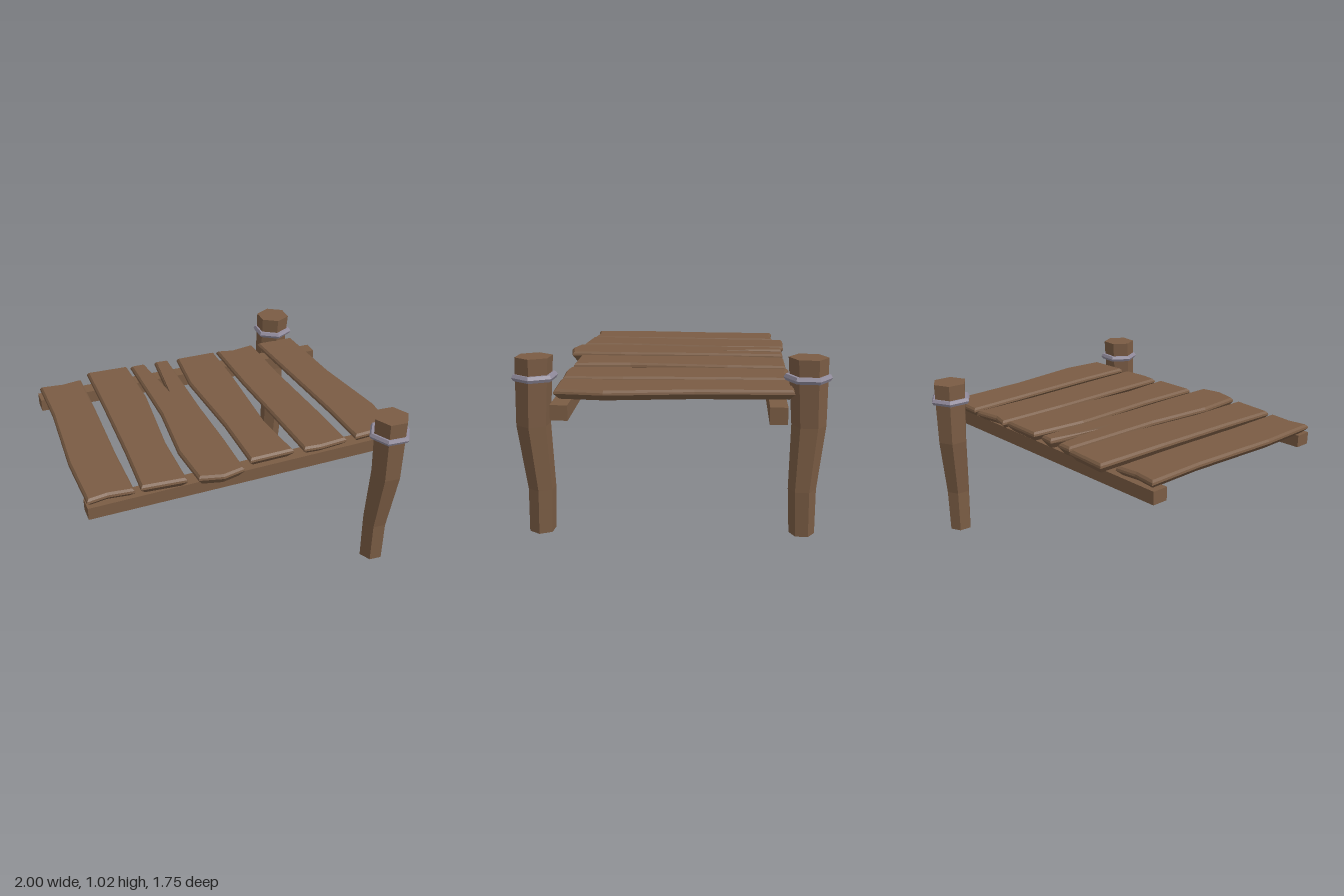
import * as THREE from 'three';

// Closed solid through stacked loops of [x, y, z], listed bottom to top
function loft(loops) {
  const pos = [];
  const n = loops[0].length;
  const tri = (a, b, c) => pos.push(...a, ...b, ...c);
  for (let k = 0; k < loops.length - 1; k++) {
    const lo = loops[k], up = loops[k + 1];
    for (let i = 0; i < n; i++) {
      const j = (i + 1) % n;
      tri(lo[i], up[j], lo[j]);
      tri(lo[i], up[i], up[j]);
    }
  }
  const cap = (loop, top) => {
    const flat = loop.map(p => new THREE.Vector2(p[0], p[2]));
    for (const [a, b, c] of THREE.ShapeUtils.triangulateShape(flat, [])) {
      if (top) tri(loop[a], loop[c], loop[b]);
      else tri(loop[a], loop[b], loop[c]);
    }
  };
  cap(loops[0], false);
  cap(loops[loops.length - 1], true);
  const geo = new THREE.BufferGeometry();
  geo.setAttribute('position', new THREE.Float32BufferAttribute(pos, 3));
  geo.computeVertexNormals();
  return geo;
}

// Shrink an [x, z] outline by d, with limited mitres, and place it at height y
function inset(outline, d, y) {
  const n = outline.length;
  const normal = (a, b) => new THREE.Vector2(a[1] - b[1], b[0] - a[0]).normalize();
  return outline.map((p, i) => {
    const n1 = normal(outline[(i + n - 1) % n], p);
    const n2 = normal(p, outline[(i + 1) % n]);
    const m = n1.clone().add(n2).normalize();
    const s = d / Math.max(m.dot(n1), 0.4);
    return [p[0] + m.x * s, y, p[1] + m.y * s];
  });
}

// Plank outlines: back edge, right side, front edge, left side
const PLANKS = [
  [[-0.975, -0.615], [-0.83, -0.6], [-0.7, -0.62], [-0.705, -0.2], [-0.72, 0.3], [-0.72, 0.68],
    [-0.87, 0.665], [-0.99, 0.685], [-1, 0.3], [-0.97, -0.25]],
  [[-0.645, -0.68], [-0.37, -0.67], [-0.365, -0.25], [-0.42, 0.3], [-0.425, 0.7],
    [-0.69, 0.68], [-0.67, 0.3], [-0.655, -0.2]],
  [[-0.35, -0.655], [-0.25, -0.655], [-0.215, -0.26], [-0.18, -0.655], [-0.085, -0.65], [-0.095, 0],
    [-0.09, 0.4], [-0.095, 0.72], [-0.23, 0.75], [-0.37, 0.715], [-0.39, 0.43], [-0.35, 0]],
  [[-0.02, -0.655], [0.255, -0.655], [0.25, -0.3], [0.215, 0.3], [0.245, 0.65],
    [-0.035, 0.655], [-0.03, 0.25], [-0.055, -0.3]],
  [[0.28, -0.67], [0.39, -0.645], [0.555, -0.675], [0.555, -0.25], [0.58, 0.3], [0.59, 0.65],
    [0.41, 0.665], [0.305, 0.655], [0.295, 0.25], [0.28, -0.2]],
  [[0.59, -0.67], [0.86, -0.67], [0.88, -0.13], [0.94, 0.36], [0.915, 0.635],
    [0.645, 0.65], [0.64, 0.3], [0.615, -0.2]],
];
const PLANK_TOPS = [0.863, 0.87, 0.873, 0.868, 0.862, 0.865];

// Beams: [x, z centre, bottom, top] at the left and right ends
const BEAMS = [
  ['frontBeam', [-0.99, 0.64, 0.738, 0.812], [1, 0.59, 0.715, 0.8]],
  ['backBeam', [-0.99, -0.57, 0.735, 0.812], [0.975, -0.58, 0.705, 0.8]],
];

// Posts: bent centre line as [x, y, z, radius], and the turn of the hexagon
const POSTS = [
  ['frontPost', 0.07, [[0.79, 0, 0.752, 0.077], [0.79, 0.26, 0.745, 0.08],
    [0.805, 0.64, 0.775, 0.098], [0.805, 1.025, 0.757, 0.107]]],
  ['backPost', 0.58, [[0.75, 0, -0.74, 0.073], [0.758, 0.27, -0.733, 0.079],
    [0.732, 0.64, -0.76, 0.097], [0.742, 1.025, -0.745, 0.11]]],
];

export function createModel() {
  const model = new THREE.Group();
  const wood = new THREE.MeshStandardMaterial({ color: 0x7a5c44 });
  wood.name = 'brownWood';
  const metal = new THREE.MeshStandardMaterial({ color: 0x938d9e });
  metal.name = 'greyBand';
  wood.flatShading = metal.flatShading = true;

  const add = (name, geo, material) => {
    const mesh = new THREE.Mesh(geo, material);
    mesh.name = name;
    model.add(mesh);
    return mesh;
  };

  // Deck planks, with a wide waist between bevelled top and bottom
  PLANKS.forEach((outline, i) => {
    const top = PLANK_TOPS[i];
    add('plank' + (i + 1), loft([
      inset(outline, 0.03, 0.807),
      inset(outline, 0, top - 0.024),
      inset(outline, 0.003, top - 0.012),
      inset(outline, 0.014, top),
    ]), wood);
  });

  // Two long beams under the deck
  for (const [name, l, r] of BEAMS) {
    const h = 0.048;
    const loop = k => [[l[0], l[k], l[1] - h], [r[0], r[k], r[1] - h],
      [r[0], r[k], r[1] + h], [l[0], l[k], l[1] + h]];
    add(name, loft([loop(2), loop(3)]), wood);
  }

  // Hexagonal posts, each with a band near the top
  for (const [name, turn, spine] of POSTS) {
    add(name, loft(spine.map(([x, y, z, r]) => Array.from({ length: 6 }, (_, i) => {
      const a = turn + i * Math.PI / 3;
      return [x + r * Math.cos(a), y, z + r * Math.sin(a)];
    }))), wood);
    const [x, , z, r] = spine[3];
    const band = new THREE.TorusGeometry(r + 0.003, 0.021, 6, 6);
    band.rotateX(Math.PI / 2).rotateY(-turn);
    add(name + 'Band', band, metal).position.set(x, 0.913, z);
  }
  return model;
}
